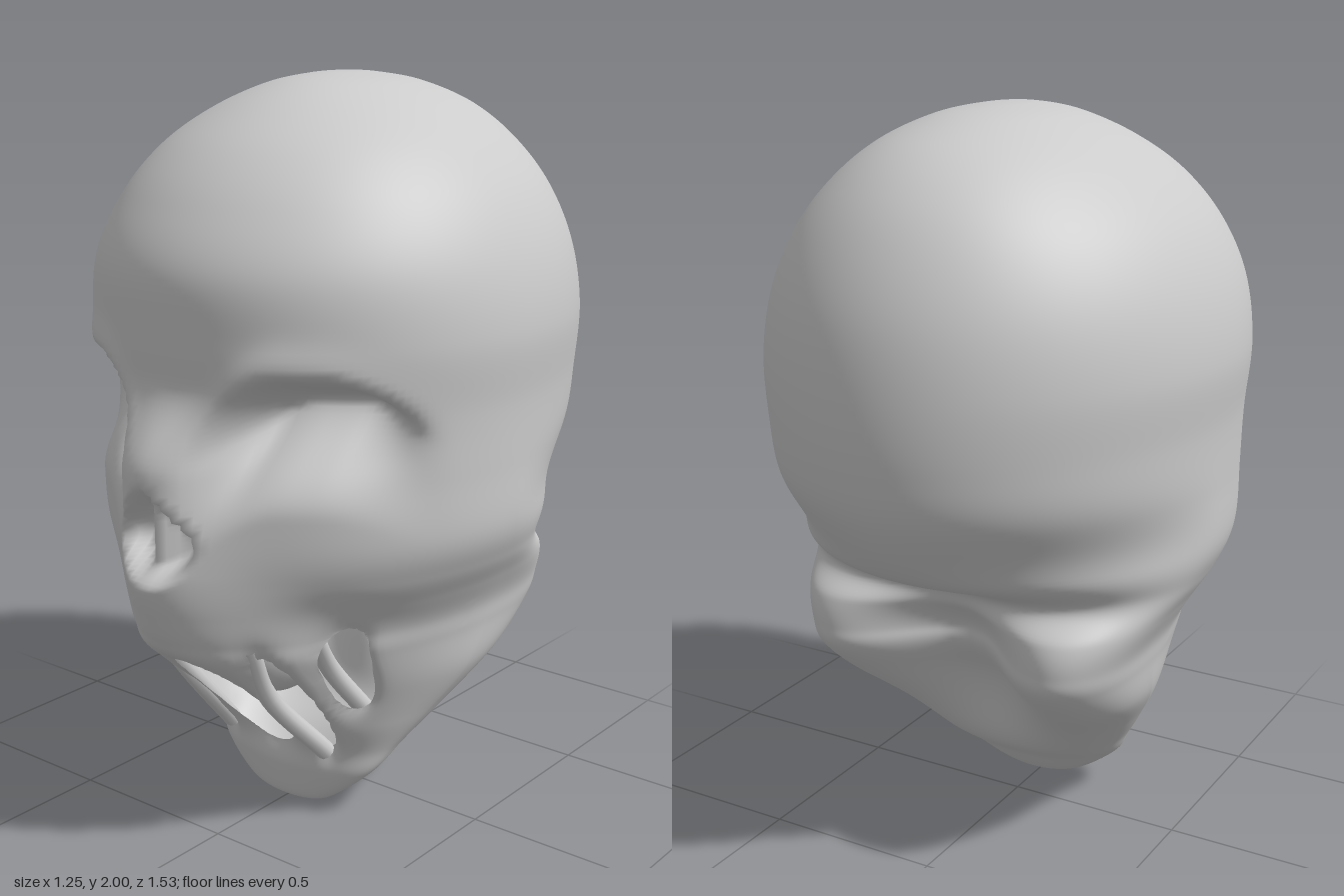
import * as THREE from 'three';
import { mergeVertices } from 'three/addons/utils/BufferGeometryUtils.js';

// Horizontal sections, bottom to top: height, half width, front z, back z
const SECTIONS = [
  [0.00, 0.00, 0.19, 0.19],
  [0.005, 0.06, 0.21, 0.15],
  [0.03, 0.14, 0.235, 0.09],
  [0.12, 0.25, 0.26, -0.03],
  [0.20, 0.30, 0.285, -0.18],
  [0.30, 0.365, 0.39, -0.31],
  [0.43, 0.44, 0.53, -0.45],
  [0.55, 0.465, 0.645, -0.55],
  [0.62, 0.48, 0.66, -0.56],
  [0.70, 0.52, 0.655, -0.53],
  [0.78, 0.565, 0.65, -0.46],
  [0.88, 0.60, 0.65, -0.62],
  [1.04, 0.605, 0.65, -0.73],
  [1.20, 0.61, 0.65, -0.765],
  [1.38, 0.625, 0.66, -0.765],
  [1.55, 0.597, 0.655, -0.735],
  [1.70, 0.53, 0.575, -0.67],
  [1.82, 0.43, 0.465, -0.58],
  [1.91, 0.31, 0.33, -0.46],
  [1.97, 0.18, 0.19, -0.30],
  [1.995, 0.07, 0.06, -0.15],
  [2.00, 0.00, -0.05, -0.05],
];

// Mouth openings: centre x, centre y, half width, half height, sideways lean
const HOLES = [
  [0, 0.365, 0.11, 0.175, 0],
  [0.19, 0.395, 0.036, 0.185, 0.08],
  [0.315, 0.50, 0.036, 0.14, 0.2],
];

// Paths of the strands across the mouth on the left side
const STRANDS = [
  [[0.18, 0.61, 0.565], [0.14, 0.42, 0.445], [0.17, 0.2, 0.245]],
  [[0.28, 0.64, 0.44], [0.25, 0.49, 0.325], [0.265, 0.33, 0.19]],
];

const { smoothstep } = THREE.MathUtils;
const gauss = (v, s) => Math.exp(-(v * v) / (s * s));

// Smooth interpolation through the section table, t in 0..1
function sectionAt(t) {
  const f = t * (SECTIONS.length - 1);
  const i = Math.min(Math.floor(f), SECTIONS.length - 2);
  const u = f - i;
  const row = (k) => SECTIONS[THREE.MathUtils.clamp(k, 0, SECTIONS.length - 1)];
  return SECTIONS[i].map((b, k) => {
    const a = row(i - 1)[k], c = row(i + 1)[k], d = row(i + 2)[k];
    return b + 0.5 * u * (c - a + u * (2 * a - 5 * b + 4 * c - d + u * (3 * (b - c) + d - a)));
  });
}

// Negative inside a mouth opening
function mouthField(x, y, z) {
  if (z < 0.02) return 9;
  return Math.min(...HOLES.map(([cx, cy, rx, ry, lean]) => {
    const dx = (Math.abs(x) - cx - lean * (y - cy)) / rx;
    return dx * dx + Math.abs((y - cy) / ry) ** 3 - 1;
  }));
}

// Raises the nose and presses in eye sockets, nostrils and cheeks
function sculptFace(x, y, z, field) {
  if (z < 0.02) return z;
  const ax = Math.abs(x);
  // Nasal bone and muzzle ridge
  const ridge = smoothstep(y, 0.5, 0.82) * (1 - smoothstep(y, 1.06, 1.29));
  let out = z + 0.11 * ridge * gauss(x, 0.165);
  // Sockets, deepest directly under the arched brow
  const brow = 1.31 - 4 * Math.max(0, 0.3 - ax) ** 2 - 3 * Math.max(0, ax - 0.36) ** 2;
  const below = brow - y;
  out -= 0.19 * smoothstep(below, -0.02, 0.08) * (1 - smoothstep(below, 0.05, 0.34))
    * smoothstep(ax, 0.08, 0.22) * (1 - smoothstep(ax, 0.38, 0.57));
  // Brow swelling
  out += 0.015 * gauss(y - brow - 0.03, 0.05) * gauss(ax - 0.27, 0.18);
  // Pear-shaped nasal opening with a septum
  const half = 0.135 * (1 - 0.7 * smoothstep(y, 0.86, 1.06));
  const pear = Math.hypot(x / half, (y - 0.91) / 0.14);
  out -= 0.11 * (1 - smoothstep(pear, 0.55, 1.0)) * (1 - 0.45 * gauss(x, 0.035));
  // Hollow beside the mouth
  out -= 0.04 * gauss(ax - 0.36, 0.09) * gauss(y - 0.66, 0.09);
  // Edges of the openings curl inward
  return out - 0.03 * Math.exp(-1.5 * Math.max(field, 0));
}

// One horizontal ring: pointed at the mouth, squared and hollowed behind the jaw
function ringAt(t, around) {
  const [y, w, zf, zb] = sectionAt(t);
  const zc = 0.19 * (1 - smoothstep(y, 0, 0.45)) - 0.1 * gauss(y - 0.6, 0.17)
    - 0.05 * smoothstep(y, 1.8, 2);
  const frontPower = 1 + 0.45 * gauss(y - 0.41, 0.15);
  const backPower = 1 - 0.35 * gauss(y - 0.6, 0.22) + 0.2 * gauss(y - 0.92, 0.12);
  const hollow = 0.3 * smoothstep(y, 0.05, 0.5) * (1 - smoothstep(y, 0.6, 0.86));
  return Array.from({ length: around }, (_, i) => {
    const a = (i / around) * Math.PI * 2;
    const s = Math.sin(a), c = Math.cos(a);
    if (c >= 0) {
      const x = w * s;
      const z = zc + (zf - zc) * c ** frontPower;
      const field = mouthField(x, y, z);
      return { x, y, z: sculptFace(x, y, z, field), field };
    }
    const x = w * Math.sign(s) * Math.abs(s) ** backPower;
    const z = zc + (zb - zc) * (-c) ** backPower
      + hollow * gauss(x, 0.24) * smoothstep(-c, 0, 0.5);
    return { x, y, z, field: mouthField(x, y, z) };
  });
}

function skullGeometry(around = 192, rows = 210) {
  const grid = Array.from({ length: rows + 1 }, (_, j) => ringAt(j / rows, around));

  // Keep the part of each triangle that lies outside the mouth openings
  const pos = [];
  const addTriangle = (tri) => {
    const kept = [];
    tri.forEach((p, k) => {
      const q = tri[(k + 1) % 3];
      if (p.field >= 0) kept.push(p);
      if ((p.field >= 0) !== (q.field >= 0)) {
        const t = p.field / (p.field - q.field);
        kept.push({ x: p.x + (q.x - p.x) * t, y: p.y + (q.y - p.y) * t, z: p.z + (q.z - p.z) * t });
      }
    });
    for (let k = 1; k + 1 < kept.length; k++) {
      for (const p of [kept[0], kept[k], kept[k + 1]]) pos.push(p.x, p.y, p.z);
    }
  };
  for (let j = 0; j < rows; j++) {
    for (let i = 0; i < around; i++) {
      const n = (i + 1) % around;
      const a = grid[j][i], b = grid[j][n], c = grid[j + 1][n], d = grid[j + 1][i];
      if (j > 0) addTriangle([a, b, c]);
      if (j < rows - 1) addTriangle([a, c, d]);
    }
  }
  const soup = new THREE.BufferGeometry();
  soup.setAttribute('position', new THREE.Float32BufferAttribute(pos, 3));
  const geometry = mergeVertices(soup, 1e-5);
  geometry.computeVertexNormals();
  return geometry;
}

export function createModel() {
  const group = new THREE.Group();
  group.name = 'skull';
  const material = new THREE.MeshStandardMaterial({ color: 0xcccccc, side: THREE.DoubleSide });
  const add = (name, geometry) => {
    const mesh = new THREE.Mesh(geometry, material);
    mesh.name = name;
    group.add(mesh);
    return mesh;
  };

  // Cranium, face and jaw in one open skin
  add('craniumAndJaw', skullGeometry());

  // Round strands between upper and lower jaw
  for (const side of [1, -1]) {
    for (const path of STRANDS) {
      const curve = new THREE.CatmullRomCurve3(
        path.map(([x, y, z]) => new THREE.Vector3(x * side, y, z)));
      add(side > 0 ? 'leftMouthStrand' : 'rightMouthStrand',
        new THREE.TubeGeometry(curve, 16, 0.026, 10));
    }
  }

  // Ball held inside the mouth
  add('mouthBall', new THREE.SphereGeometry(0.15, 32, 20)).position.set(0, 0.5, 0.265);

  return group;
}
